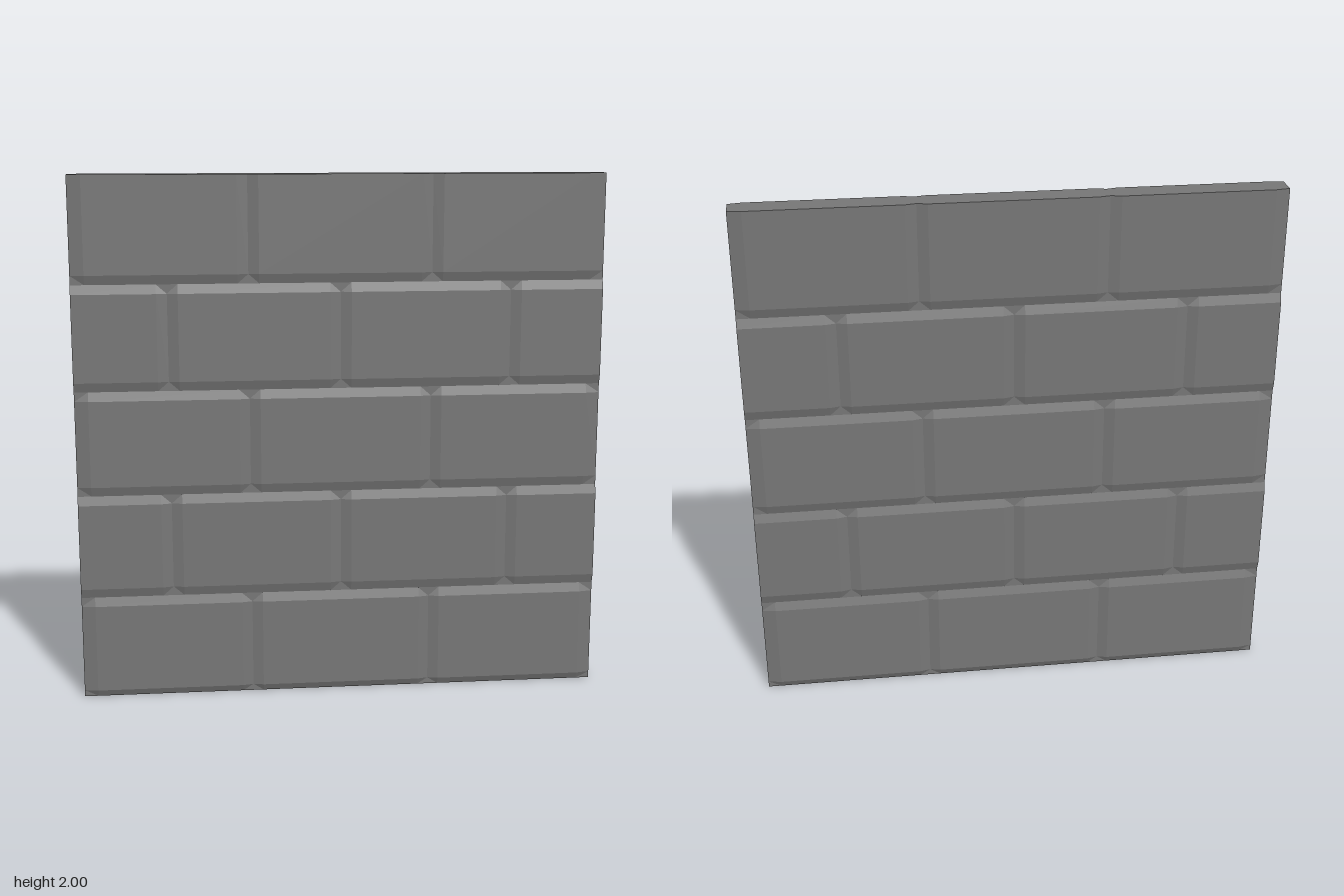
import * as THREE from 'three';

const FACE = 0.05;   // half thickness at the brick faces
const JOINT = 0.04;  // half thickness at the bottom of the joints
const ROW = 0.4;     // row height
const ROWS = 5;
const BEVEL_X = 0.04, BEVEL_Y = 0.035;

// corners counter-clockwise from the given rectangle
const corners = (x0, x1, y0, y1, z) => [[x0, y0, z], [x1, y0, z], [x1, y1, z], [x0, y1, z]];

// One brick, bevelled on both faces; an inset of 0 leaves that side flush.
// Side walls are only made at the ends and top of the wall.
function brickGeometry(x0, x1, y0, y1, inset, open) {
  const pos = [];
  const polygon = (pts) => {
    for (let k = 1; k < pts.length - 1; k++) pos.push(...pts[0], ...pts[k], ...pts[k + 1]);
  };
  const bothFaces = (...pts) => {
    polygon(pts);
    polygon(pts.map(([x, y, z]) => [x, y, -z]).reverse());
  };
  const outer = corners(x0, x1, y0, y1, JOINT);
  const inner = corners(x0 + inset.left, x1 - inset.right, y0 + inset.bottom, y1 - inset.top, FACE);
  // where the bevel of a horizontal or vertical side ends, on the brick outline
  const bevelEnd = (k, horizontal) => horizontal
    ? [inner[k][0], outer[k][1], JOINT]
    : [outer[k][0], inner[k][1], JOINT];

  bothFaces(...inner);
  const sides = ['bottom', 'right', 'top', 'left'];
  sides.forEach((side, i) => {
    const j = (i + 1) % 4;
    const horizontal = i % 2 === 0;
    const end = bevelEnd(j, horizontal), next = bevelEnd(j, !horizontal);
    // straight bevel, then the cut corner with its flat tip
    bothFaces(bevelEnd(i, horizontal), end, inner[j], inner[i]);
    bothFaces(end, next, inner[j]);
    if (inset[side] && inset[sides[j]]) bothFaces(end, outer[j], next);
    if (open[side]) {
      const back = ([x, y, z]) => [x, y, -z];
      polygon([back(outer[i]), back(outer[j]), outer[j], outer[i]]);
    }
  });
  const geo = new THREE.BufferGeometry();
  geo.setAttribute('position', new THREE.Float32BufferAttribute(pos, 3));
  geo.computeVertexNormals();
  return geo;
}

export function createModel() {
  const wall = new THREE.Group();
  wall.name = 'brickWall';
  // the wall is a hollow shell, open at the bottom
  const material = new THREE.MeshStandardMaterial({
    color: 0x777777, flatShading: true, side: THREE.DoubleSide,
  });

  // joint positions of the two alternating courses
  const courses = [[-1, -0.345, 0.345, 1], [-1, -0.647, 0, 0.647, 1]];

  for (let r = 0; r < ROWS; r++) {
    const row = new THREE.Group();
    row.name = `row${r + 1}`;
    const joints = courses[r % 2];
    const endInset = r % 2 ? 0 : 0.052; // cut bricks end flush
    for (let i = 0; i < joints.length - 1; i++) {
      const open = { left: i === 0, right: i === joints.length - 2, top: r === ROWS - 1 };
      const inset = {
        left: open.left ? endInset : BEVEL_X,
        right: open.right ? endInset : BEVEL_X,
        bottom: r === 0 ? 0.025 : BEVEL_Y,
        top: open.top ? 0 : BEVEL_Y,
      };
      const geo = brickGeometry(joints[i], joints[i + 1], r * ROW, (r + 1) * ROW, inset, open);
      const brick = new THREE.Mesh(geo, material);
      brick.name = `brick${i + 1}`;
      row.add(brick);
    }
    wall.add(row);
  }
  return wall;
}
